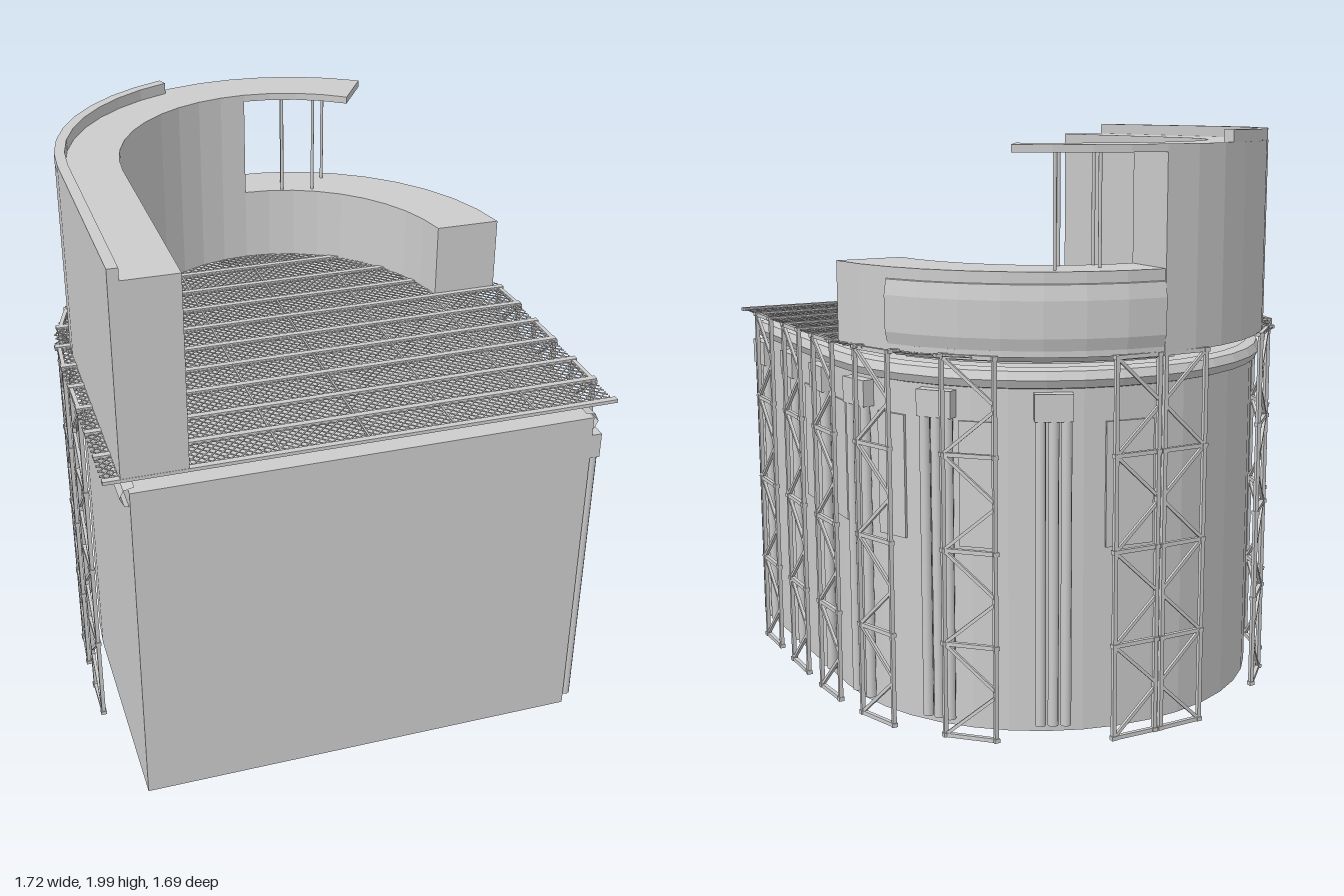
import * as THREE from 'three';
import { mergeGeometries } from 'three/addons/utils/BufferGeometryUtils.js';

const V = (x, y, z) => new THREE.Vector3(x, y, z);
const paleGrey = new THREE.MeshStandardMaterial({ color: 0xcccccc, side: THREE.DoubleSide });
paleGrey.name = 'pale grey';

export function createModel() {
  const model = new THREE.Group();
  model.name = 'towerWithDeck';
  const add = (name, geo, parent = model) => {
    const mesh = new THREE.Mesh(geo, paleGrey);
    mesh.name = name;
    parent.add(mesh);
    return mesh;
  };

  // Points on a rounded back, running from the right side to the left, with optional straight ends
  function path(rx, rz, a0, a1, zRight, zLeft, n = 20) {
    const pts = [];
    if (zRight !== undefined) pts.push(new THREE.Vector2(rx, -zRight));
    const count = Math.max(4, Math.round((n * (a1 - a0)) / Math.PI));
    for (let i = 0; i <= count; i++) {
      const a = a0 + ((a1 - a0) * i) / count;
      pts.push(new THREE.Vector2(rx * Math.cos(a), rz * Math.sin(a)));
    }
    if (zLeft !== undefined) pts.push(new THREE.Vector2(-rx, -zLeft));
    return pts;
  }
  function slab(pts, y0, y1) {
    const geo = new THREE.ExtrudeGeometry(new THREE.Shape(pts), { depth: y1 - y0, bevelEnabled: false });
    return geo.rotateX(-Math.PI / 2).translate(0, y0, 0);
  }
  const ring = (outer, inner, y0, y1) => slab([...outer, ...inner.reverse()], y0, y1);

  // Skin through a profile of [offset, y] carried along the rounded path
  function sweep(profile, rx, rz, ...args) {
    const rows = profile.map(([off, y]) => path(rx + off, rz + off, ...args).map((p) => [p.x, y, -p.y]));
    const pos = [];
    for (let j = 0; j < rows.length - 1; j++) {
      for (let i = 0; i < rows[0].length - 1; i++) {
        const a = rows[j][i], b = rows[j][i + 1], c = rows[j + 1][i + 1], d = rows[j + 1][i];
        pos.push(...a, ...b, ...c, ...a, ...c, ...d);
      }
    }
    const geo = new THREE.BufferGeometry();
    geo.setAttribute('position', new THREE.Float32BufferAttribute(pos, 3));
    geo.computeVertexNormals();
    return geo;
  }

  // Square bar between two points
  function bar(a, b, w = 0.014, h = w) {
    const geo = new THREE.BoxGeometry(w, h, a.distanceTo(b));
    const m = new THREE.Matrix4().lookAt(a, b, Math.abs(b.y - a.y) > 0.99 * a.distanceTo(b) ? V(1, 0, 0) : V(0, 1, 0));
    const mid = a.clone().add(b).multiplyScalar(0.5);
    return geo.applyMatrix4(m.setPosition(mid));
  }

  // Main body and its rounded rim
  add('body', slab(path(0.78, 0.78, 0, Math.PI, 0.84, 0.84), 0.03, 1.25));
  add('bodyRim', sweep([[-0.02, 1.185], [0.015, 1.195], [0.028, 1.222], [0.015, 1.25], [-0.02, 1.258]],
    0.78, 0.78, 0, Math.PI, 0.82, 0.82));

  // Tall wall, parapet, canopy and low wall
  const H = Math.PI / 2;
  add('tallWall', ring(path(0.805, 0.84, H, Math.PI, undefined, 0.84),
    path(0.59, 0.64, H, Math.PI, undefined, 0.84), 1.3, 1.96));
  add('parapet', ring(path(0.805, 0.84, 1.94, Math.PI, undefined, 0.84),
    path(0.77, 0.8, 1.94, Math.PI, undefined, 0.84), 1.96, 2));
  add('canopy', ring(path(0.81, 0.84, 0.95, H), path(0.59, 0.64, 0.91, H), 1.935, 1.96));
  add('lowWall', ring(path(0.825, 0.835, 0.108, H), path(0.59, 0.64, 0.141, H), 1.3, 1.57));
  add('bulgingBand', sweep([[-0.1, 1.27], [-0.035, 1.28], [0, 1.32], [0.012, 1.36], [0.014, 1.48], [0.004, 1.53], [-0.03, 1.55]],
    0.825, 0.835, 0.43, H));
  add('bandTray', ring(path(0.735, 0.74, 0.43, 1.72), path(0.64, 0.66, 0.43, 1.72), 1.265, 1.3));
  for (const [x, z] of [[0.145, -0.63], [0.165, -0.705], [0.26, -0.605], [0.33, -0.705]]) {
    add('canopyPost', new THREE.CylinderGeometry(0.006, 0.006, 0.37, 8).translate(x, 1.755, z));
  }

  // Deck: cross slats, long joists and a diagonal grating
  const halfWidth = (z) => (z > 0 ? 0.86 : 0.86 * Math.sqrt(Math.max(0, 1 - (z / 0.84) ** 2)));
  const slats = [];
  for (const z of [-0.53, -0.38, -0.23, -0.08, 0.07, 0.22, 0.37, 0.53, 0.68, 0.83]) {
    const w = halfWidth(z);
    slats.push(bar(V(-w, 1.3, z), V(w, 1.3, z), 0.022, 0.012));
  }
  for (const x of [-0.58, -0.29, 0, 0.29, 0.575]) slats.push(bar(V(x, 1.3, -0.6), V(x, 1.3, 0.83), 0.006));
  add('deckSlats', mergeGeometries(slats));
  const wires = [];
  for (const s of [-1, 1]) {
    for (let c = -1.65; c < 1.66; c += 0.03) {
      const inside = [];
      for (let z = -0.64; z <= 0.83; z += 0.01) {
        if (Math.abs(c + s * z) < halfWidth(z)) inside.push(z);
      }
      if (inside.length < 2) continue;
      const z0 = inside[0], z1 = inside[inside.length - 1];
      wires.push(bar(V(c + s * z0, 1.299, z0), V(c + s * z1, 1.299, z1), 0.004, 0.003));
    }
  }
  add('deckGrating', mergeGeometries(wires));

  // Lattice trusses standing around the body
  function truss([px, pz], [qx, qz], side) {
    const P = (y) => V(px * side, y, pz), Q = (y) => V(qx * side, y, qz);
    const parts = [bar(P(0.01), P(1.3)), bar(Q(0.01), Q(1.3))];
    for (let i = 0; i <= 4; i++) {
      const y = 0.017 + i * 0.32;
      parts.push(bar(P(y), Q(y)));
      for (const F of [P, Q]) parts.push(bar(F(y - 0.007), F(y + 0.007), 0.02));
      if (i < 4) parts.push(bar(P(y), Q(y + 0.15), 0.011), bar(Q(y + 0.17), P(y + 0.32), 0.011));
    }
    add('truss', mergeGeometries(parts));
  }
  const stands = [
    [[0.847, 0.69], [0.847, 0.53]], [[0.85, 0.38], [0.85, 0.22]], [[0.85, 0.08], [0.84, -0.075]],
    [[0.815, -0.22], [0.765, -0.375]], [[0.645, -0.53], [0.52, -0.655]], [[0.17, -0.825], [0.012, -0.828]],
  ];
  stands.forEach(([p, q], i) => {
    truss(p, q, 1);
    if (i > 0) truss(p, q, -1);
  });

  // Fittings set against the +x side: local +x points outward from the body
  function fitting(name, z) {
    const g = new THREE.Group();
    g.name = name;
    const a = z > 0 ? 0 : Math.asin(-z / 0.78);
    g.position.set(0.78 * Math.cos(a), 0, z);
    g.rotation.y = a;
    model.add(g);
    return g;
  }
  for (const z of [0.775, 0.46, 0.155, -0.155, -0.465, -0.705]) {
    const g = fitting('pipeBank', z);
    add('pipeBox', new THREE.BoxGeometry(0.05, 0.09, 0.125).translate(0.012, 1.135, 0), g);
    for (const dz of [-0.042, 0, 0.042]) {
      add('pipe', new THREE.CylinderGeometry(0.018, 0.018, 1.03, 10).translate(0.018, 0.575, dz), g);
    }
  }
  for (const [z, w] of [[0.3, 0.1], [0, 0.1], [-0.3, 0.12], [-0.565, 0.12], [-0.775, 0.17]]) {
    add('panel', new THREE.BoxGeometry(0.009, 0.42, w).translate(0.002, 0.87, 0), fitting('sidePanel', z));
  }
  return model;
}
